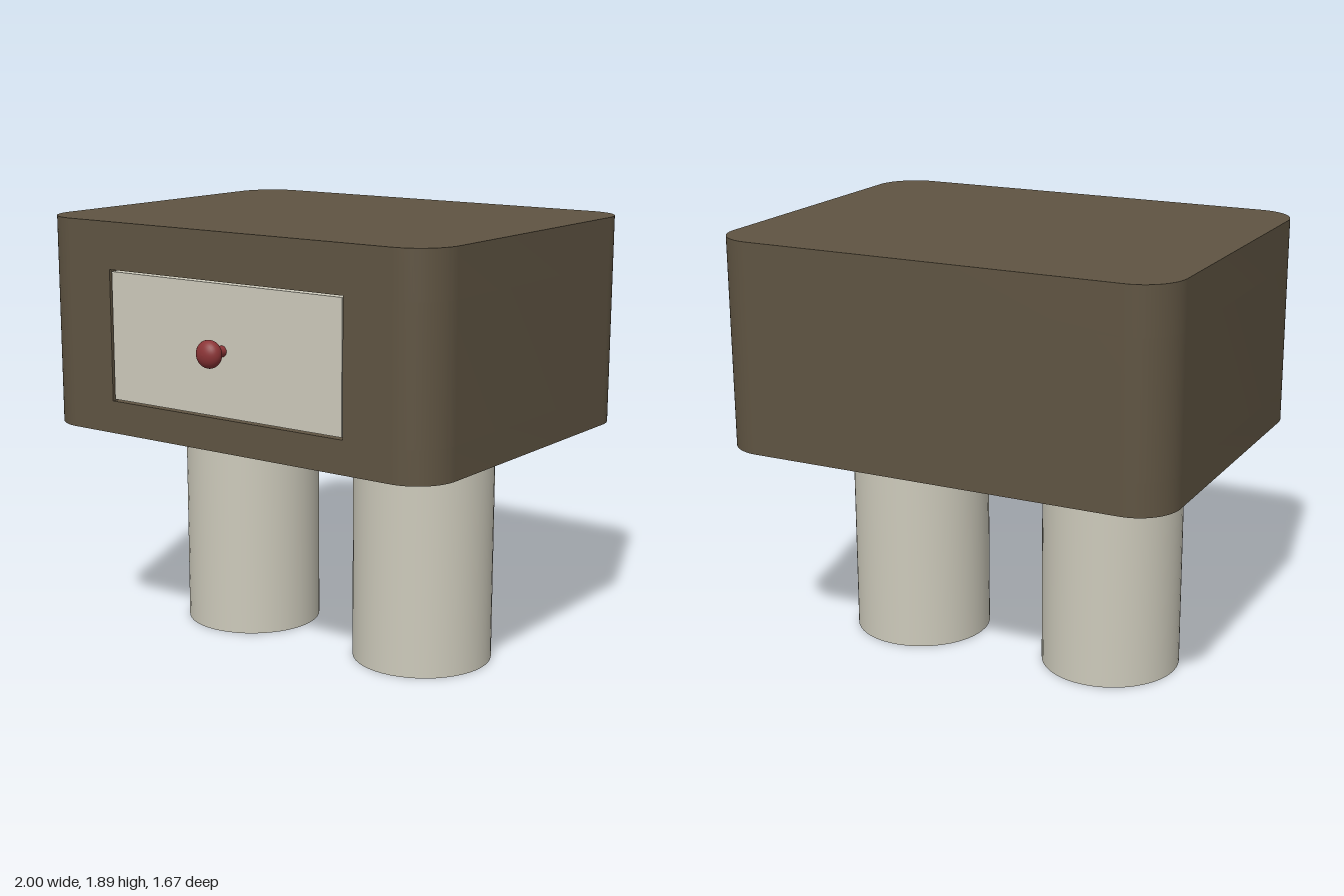
import * as THREE from 'three';
import { toCreasedNormals } from 'three/addons/utils/BufferGeometryUtils.js';

const FRONT = 0.72, BACK = -0.835, RADIUS = 0.18;
const DRAWER = { halfWidth: 0.6, bottom: 1.13, top: 1.69, depth: 0.1, gap: 0.008 };

const brown = new THREE.MeshStandardMaterial({ name: 'brown body', color: 0x5f5442 });
const cream = new THREE.MeshStandardMaterial({ name: 'cream', color: 0xcdcabb });
const red = new THREE.MeshStandardMaterial({ name: 'dark red', color: 0x8a3436 });

function add(group, name, geometry, material, x = 0, y = 0, z = 0) {
  const mesh = new THREE.Mesh(geometry, material);
  mesh.name = name;
  mesh.position.set(x, y, z);
  group.add(mesh);
  return mesh;
}

// Rounded footprint, optionally notched at the front for the drawer
function footprint(notched) {
  const s = new THREE.Shape(), r = RADIUS, f = -FRONT, b = -BACK;
  s.moveTo(-1 + r, f);
  if (notched) {
    const w = DRAWER.halfWidth, d = f + DRAWER.depth;
    s.lineTo(-w, f).lineTo(-w, d).lineTo(w, d).lineTo(w, f);
  }
  s.lineTo(1 - r, f);
  s.absarc(1 - r, f + r, r, -Math.PI / 2, 0);
  s.lineTo(1, b - r);
  s.absarc(1 - r, b - r, r, 0, Math.PI / 2);
  s.lineTo(-1 + r, b);
  s.absarc(-1 + r, b - r, r, Math.PI / 2, Math.PI);
  s.lineTo(-1, f + r);
  s.absarc(-1 + r, f + r, r, Math.PI, Math.PI * 1.5);
  return s;
}

function bodyLayer(y0, y1, notched) {
  const g = new THREE.ExtrudeGeometry(footprint(notched), {
    depth: y1 - y0, bevelEnabled: false, curveSegments: 14,
  });
  g.rotateX(-Math.PI / 2).translate(0, y0, 0);
  return toCreasedNormals(g, 0.5);
}

export function createModel() {
  const model = new THREE.Group();
  model.name = 'nightstand';

  // Cabinet: the middle layer carries the drawer opening
  const cabinet = new THREE.Group();
  cabinet.name = 'cabinet';
  model.add(cabinet);
  add(cabinet, 'cabinetBottom', bodyLayer(0.99, DRAWER.bottom, false), brown);
  add(cabinet, 'cabinetMiddle', bodyLayer(DRAWER.bottom, DRAWER.top, true), brown);
  add(cabinet, 'cabinetTop', bodyLayer(DRAWER.top, 1.89, false), brown);

  // Drawer front, set in its opening with a narrow gap
  const { halfWidth, bottom, top, depth, gap } = DRAWER;
  add(model, 'drawerFront',
    new THREE.BoxGeometry(2 * (halfWidth - gap), top - bottom - 2 * gap, depth),
    cream, 0, (top + bottom) / 2, FRONT - depth / 2 - 0.005);

  // Knob: slim neck and flattened round head
  const profile = [[0.024, -0.01], [0.02, 0.012], [0.019, 0.03], [0.026, 0.039]]
    .map(([r, h]) => new THREE.Vector2(r, h));
  for (let i = 0; i <= 14; i++) {
    const a = -0.95 + (i / 14) * (Math.PI / 2 + 0.95);
    profile.push(new THREE.Vector2(Math.max(0, 0.058 * Math.cos(a)), 0.076 + 0.043 * Math.sin(a)));
  }
  const knob = add(model, 'drawerKnob', new THREE.LatheGeometry(profile, 32), red, 0, 1.41, FRONT);
  knob.rotation.x = Math.PI / 2;

  // Two thick round legs
  for (const [name, side] of [['leftLeg', 1], ['rightLeg', -1]]) {
    add(model, name, new THREE.CylinderGeometry(0.303, 0.303, 1, 48), cream, side * 0.468, 0.5, -0.057);
  }
  return model;
}
